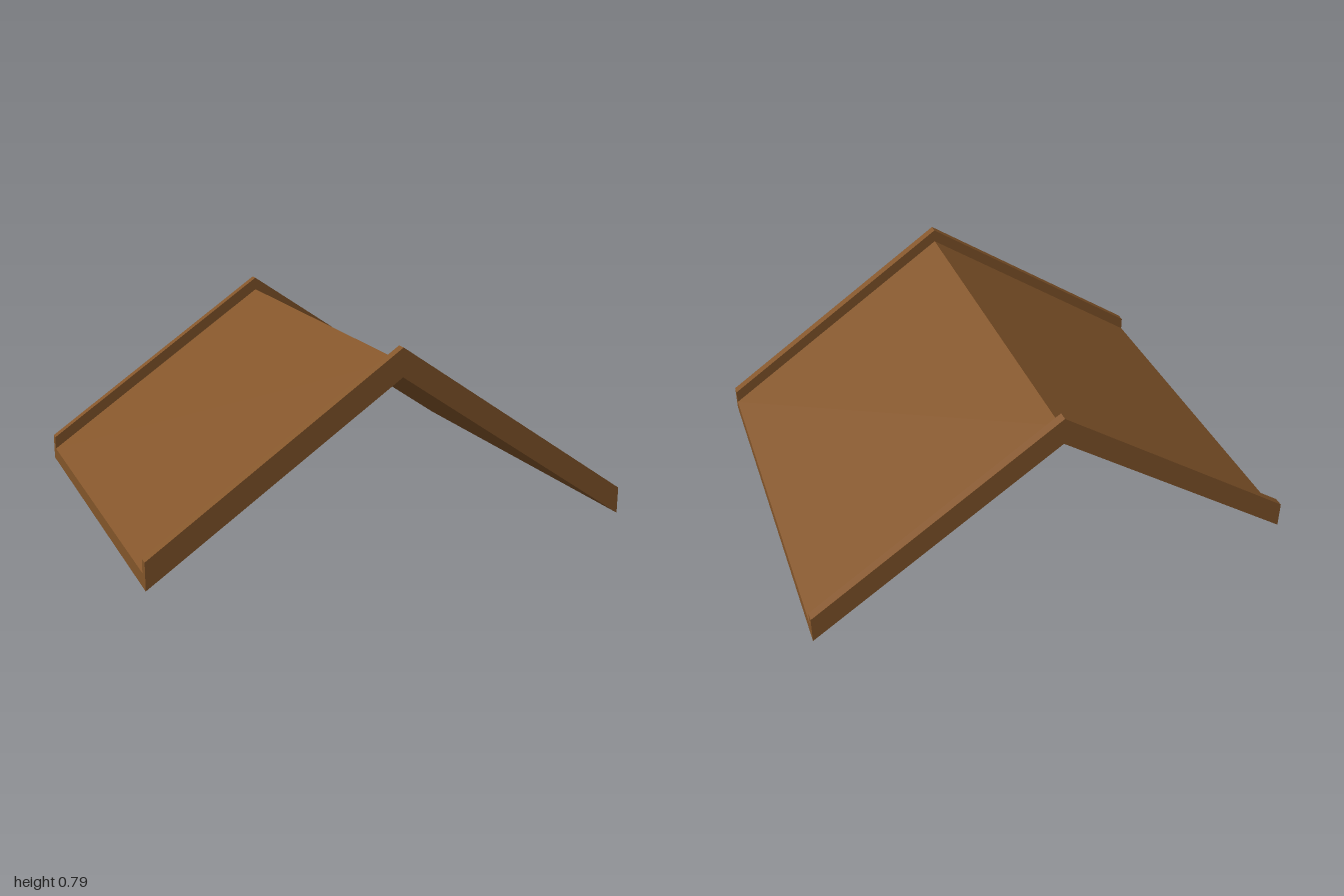
import * as THREE from 'three';

// Gabled band: a chevron cross-section extruded along z between z0 and z1
function gable(name, eaveTop, ridgeTop, z0, z1, material) {
  const shape = new THREE.Shape([
    [-1, 0], [0, 0.68], [1, 0], [1, eaveTop], [0, ridgeTop], [-1, eaveTop],
  ].map(([x, y]) => new THREE.Vector2(x, y)));
  const geometry = new THREE.ExtrudeGeometry(shape, { depth: z1 - z0, bevelEnabled: false });
  geometry.translate(0, 0, z0);
  const mesh = new THREE.Mesh(geometry, material);
  mesh.name = name;
  return mesh;
}

export function createModel() {
  const wood = new THREE.MeshStandardMaterial({ color: 0x83552a });
  wood.name = 'brown wood';

  const roof = new THREE.Group();
  roof.name = 'gableRoof';

  // Thin sloping panels, framed by a taller board at each gable end
  roof.add(gable('roofPanels', 0.055, 0.737, -0.775, 0.775, wood));
  roof.add(gable('frontGableBoard', 0.11, 0.793, 0.775, 0.813, wood));
  roof.add(gable('backGableBoard', 0.11, 0.793, -0.813, -0.775, wood));
  return roof;
}
